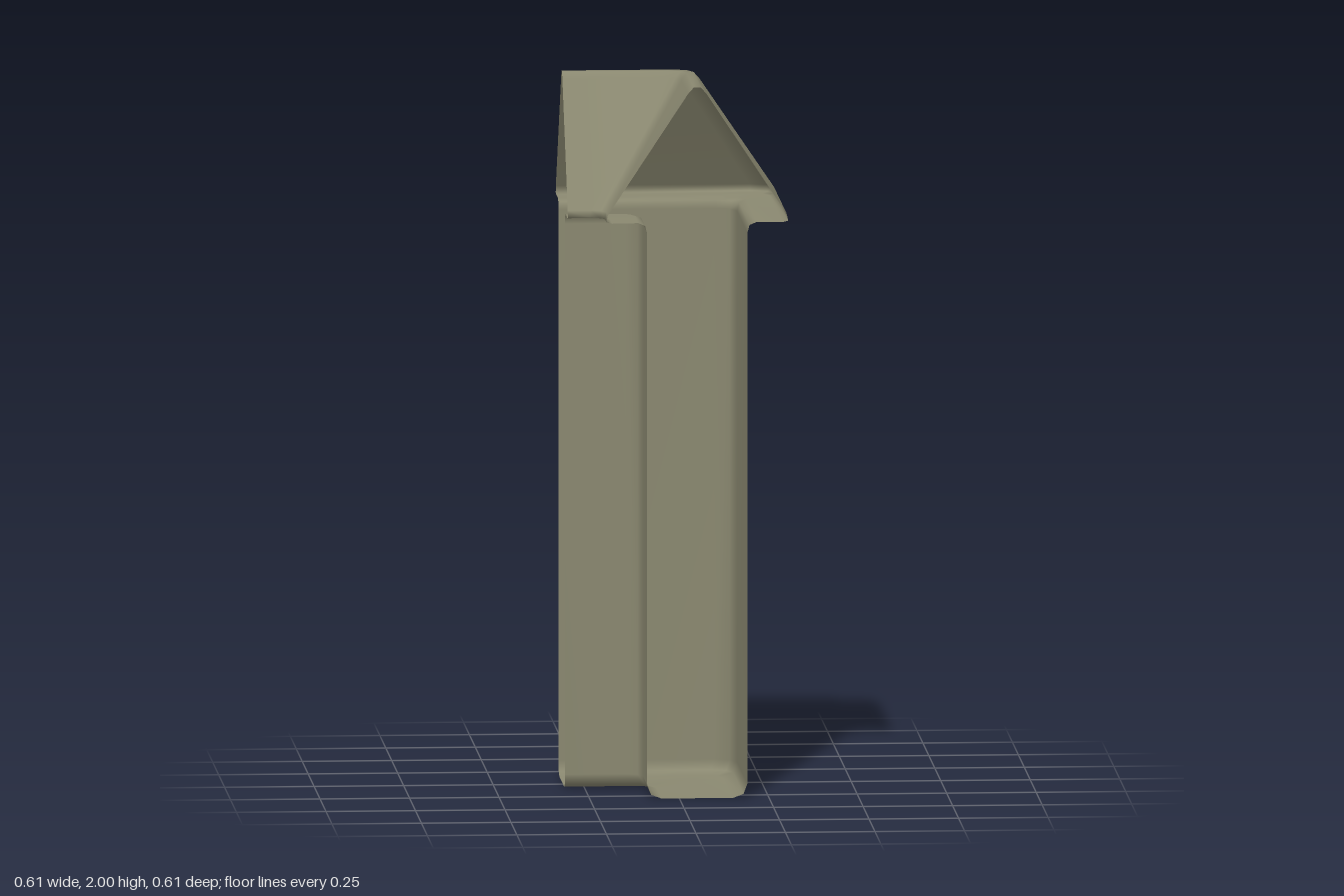
import * as THREE from 'three';

// Right half of the wall cross-section: [offset from centreline, height], floor to ridge
const half = [
  [0.1, 0], [0.129, 0.011], [0.14, 0.04],                 // rounded base
  [0.14, 1.59], [0.146, 1.612], [0.165, 1.62],            // wall flaring into the eave
  [0.238, 1.619], [0.254, 1.623], [0.25, 1.642],          // eave lip
  [0.026, 1.982], [0.01, 2.0],                            // roof slope and ridge
];
const END = 0.305;   // open ends of both arms
const AXIS = 0.05;   // centreline of each arm

// Plan of one profile point: straight arm, rounded corner, straight arm
function planPath(d) {
  const c = AXIS + d, r = 0.0525 + 0.05 * d;
  const path = [[c, END], [c, 0.4 * END - 0.6 * (c - r)]];
  path.pop();
  for (let k = 0; k <= 2; k++) {
    const a = (k / 2) * Math.PI / 2;
    path.push([c - r + r * Math.cos(a), -c + r - r * Math.sin(a)]);
  }
  path.push([-END, -c]);
  return path;
}

// Sweeps the closed profile round the corner, leaving both ends open
function sweepProfile(profile) {
  const positions = [], index = [];
  const n = profile.length;
  let m = 0;
  for (const [d, y] of profile) {
    const path = planPath(d);
    m = path.length;
    for (const [x, z] of path) positions.push(x, y, z);
  }
  for (let i = 0; i < n; i++) {
    const next = (i + 1) % n;
    for (let j = 0; j < m - 1; j++) {
      const a = i * m + j, b = a + 1, c = next * m + j, e = c + 1;
      index.push(a, b, c, b, e, c);
    }
  }
  const geometry = new THREE.BufferGeometry();
  geometry.setAttribute('position', new THREE.Float32BufferAttribute(positions, 3));
  geometry.setIndex(index);
  geometry.computeVertexNormals();
  return geometry;
}

export function createModel() {
  const group = new THREE.Group();
  group.name = 'cornerWall';
  const mirrored = half.map(([d, y]) => [-d, y]).reverse();
  const material = new THREE.MeshStandardMaterial({ color: 0x8a8870, side: THREE.DoubleSide });

  // Hollow wall and gabled coping as one continuous shell
  const shell = new THREE.Mesh(sweepProfile([...half, ...mirrored]), material);
  shell.name = 'wallAndCoping';
  group.add(shell);
  return group;
}
